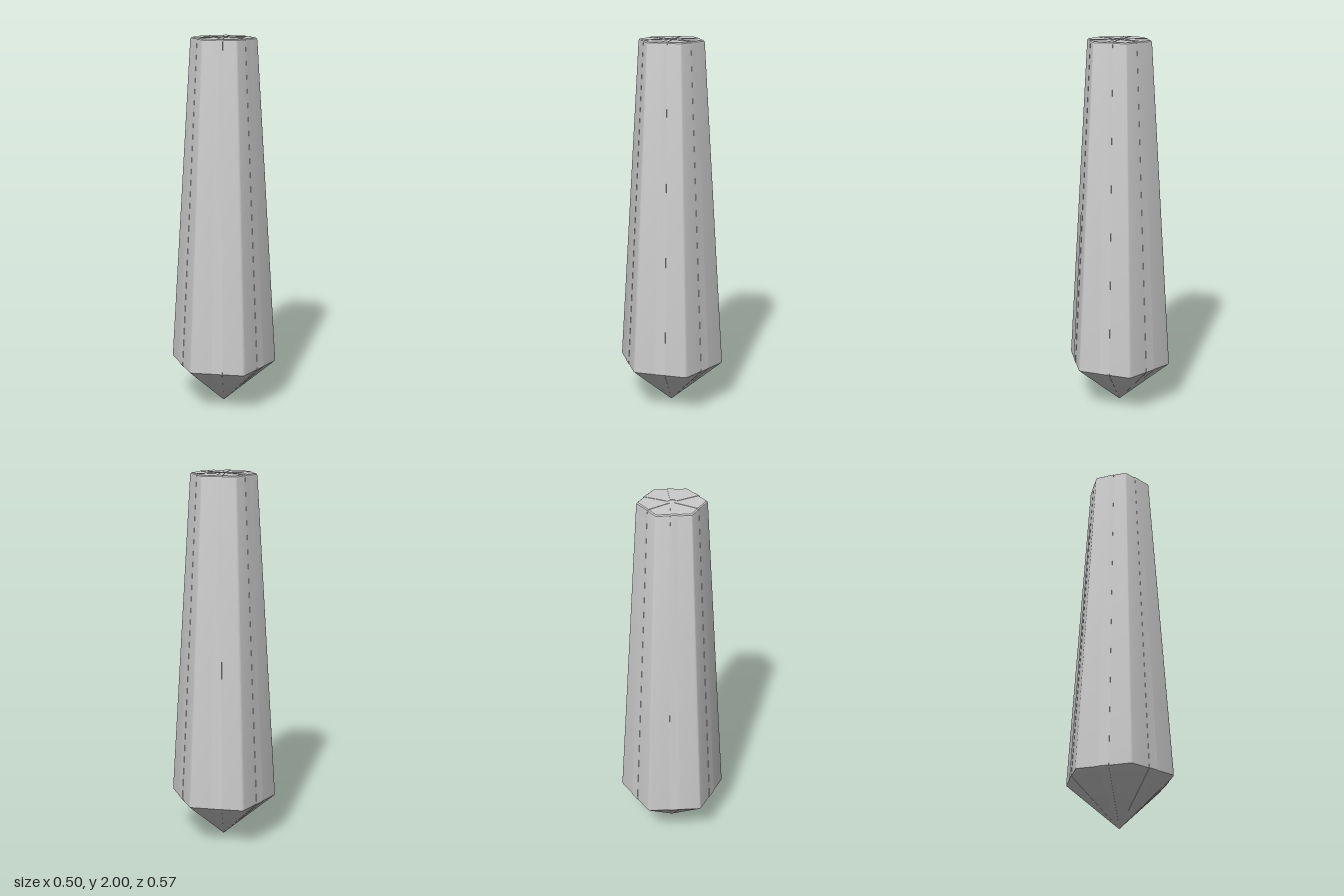
import * as THREE from 'three';
import { toCreasedNormals } from 'three/addons/utils/BufferGeometryUtils.js';

const SIDES = 6;

// Joins rows of points (bottom to top, left to right) into a surface.
function skin(rows, closed) {
  const n = rows[0].length;
  const index = [];
  for (let i = 0; i < rows.length - 1; i++) {
    for (let j = 0; j < (closed ? n : n - 1); j++) {
      const k = (j + 1) % n;
      const a = i * n + j, b = i * n + k;
      index.push(a, b, b + n, a, b + n, a + n);
    }
  }
  const geometry = new THREE.BufferGeometry();
  geometry.setAttribute('position', new THREE.Float32BufferAttribute(rows.flat(2), 3));
  geometry.setIndex(index);
  return toCreasedNormals(geometry, 0.5);
}

// Hexagon with softly rounded corners, one corner on the z axis.
function hexagon(apothem, y) {
  const r = apothem * 0.07;
  const reach = (apothem - r) / Math.cos(Math.PI / SIDES);
  const points = [];
  for (let k = 0; k < SIDES; k++) {
    const t = (k * 2 * Math.PI) / SIDES;
    for (let s = -1; s <= 1; s += 2 / 3) {
      const u = t + (s * Math.PI) / SIDES;
      points.push([
        reach * Math.sin(t) + r * Math.sin(u), y,
        reach * Math.cos(t) + r * Math.cos(u),
      ]);
    }
  }
  return points;
}

export function createModel() {
  const group = new THREE.Group();
  const material = new THREE.MeshStandardMaterial({ color: 0xcccccc });
  const add = (name, geometry) => {
    const mesh = new THREE.Mesh(geometry, material);
    mesh.name = name;
    group.add(mesh);
    return mesh;
  };

  // Tapered shaft with pointed foot and softened rims: [apothem, height]
  const profile = [
    [0, 0.001], [0.004, 0.003], [0.244, 0.243], [0.249, 0.249], [0.249, 0.262],
    [0.152, 1.985], [0.15, 1.993], [0.144, 1.998], [0, 1.998],
  ];
  add('body', skin(profile.map(([a, y]) => hexagon(a, y)), true));

  // Thin raised band down the middle of each face: [distance, height, half width]
  const path = [
    [0.001, 0, 0.0005], [0.246, 0.242, 0.027], [0.252, 0.25, 0.028],
    [0.2505, 0.265, 0.028], [0.153, 1.985, 0.017], [0.151, 1.995, 0.017],
    [0.145, 2, 0.0165], [0.018, 2, 0.01], [0.018, 1.99, 0.01],
  ];
  const bandRows = path.map(([d, y, w]) => {
    const inD = d * 0.97;
    const inY = 1 + (y - 1) * 0.99;
    return [[-w, inY, inD], [-w, y, d], [w, y, d], [w, inY, inD]];
  });
  const band = skin(bandRows, false);
  for (let k = 0; k < SIDES; k++) {
    add('faceBand' + (k + 1), band).rotation.y = ((k + 0.5) * 2 * Math.PI) / SIDES;
  }
  return group;
}
